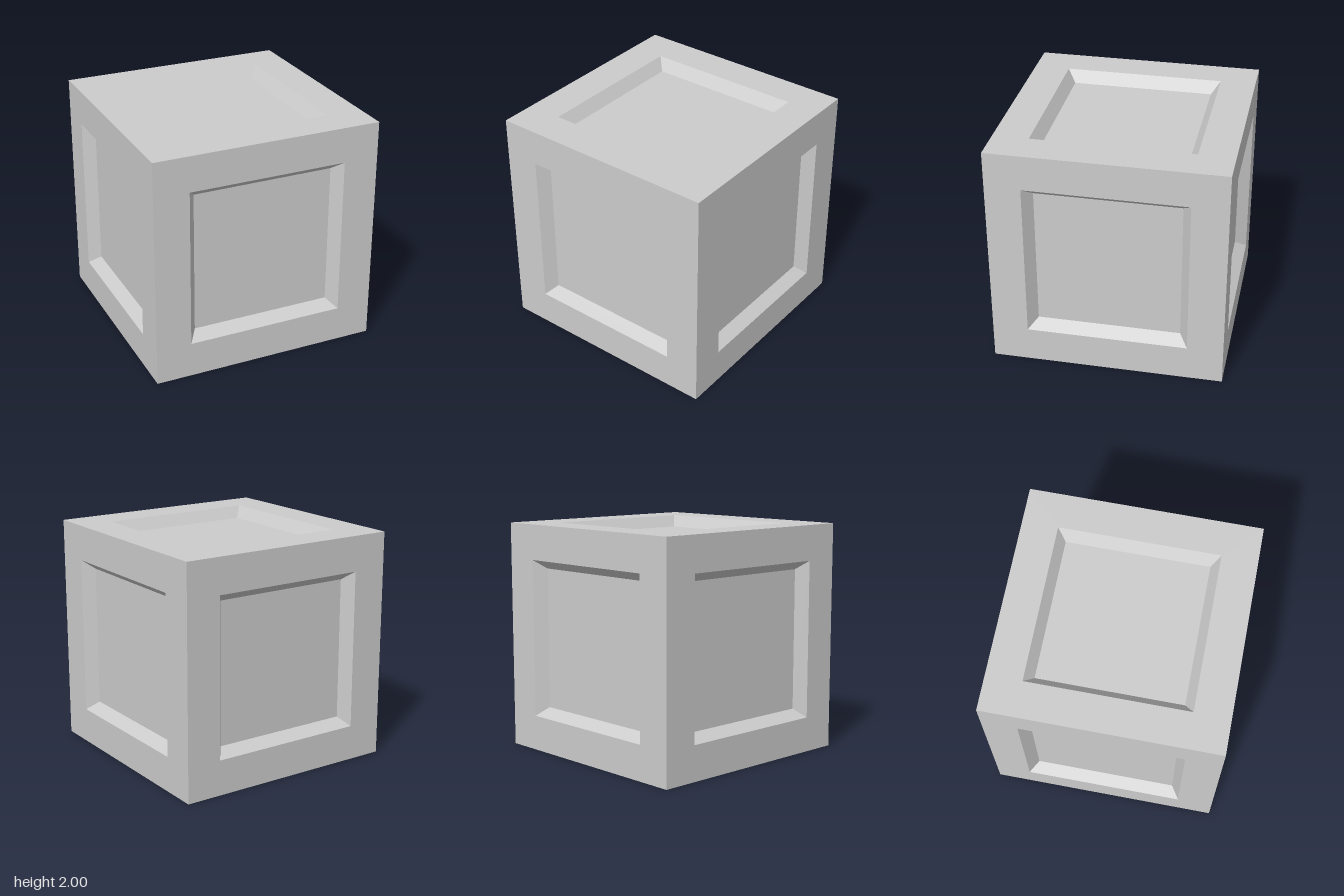
import * as THREE from 'three';

const HALF = 1, OPENING = 0.692, FLOOR = 0.617, DEPTH = 0.1;

// Square ring facing +z, running from an outer to an inner half-width
function squareRing(outer, zOuter, inner, zInner) {
  const profile = [
    new THREE.Vector2(outer * Math.SQRT2, zOuter),
    new THREE.Vector2(inner * Math.SQRT2, zInner),
  ];
  const geometry = new THREE.LatheGeometry(profile, 4, Math.PI / 4).toNonIndexed();
  geometry.rotateX(Math.PI / 2);
  geometry.computeVertexNormals();
  return geometry;
}

export function createModel() {
  const model = new THREE.Group();
  model.name = 'panelledCube';
  const grey = new THREE.MeshStandardMaterial({ color: 0xcccccc });
  grey.name = 'light grey';

  // Flat border, sloping walls and recessed floor of one side
  const parts = {
    border: squareRing(HALF, HALF, OPENING, HALF),
    bevel: squareRing(OPENING, HALF, FLOOR, HALF - DEPTH),
    recessedPanel: new THREE.PlaneGeometry(2 * FLOOR, 2 * FLOOR).translate(0, 0, HALF - DEPTH),
  };

  // Same side turned to each of the six directions
  const q = Math.PI / 2;
  const sides = {
    front: [0, 0], left: [0, q], back: [0, 2 * q], right: [0, -q],
    top: [-q, 0], bottom: [q, 0],
  };
  for (const [sideName, [rx, ry]] of Object.entries(sides)) {
    const side = new THREE.Group();
    side.name = sideName + 'Side';
    for (const [partName, geometry] of Object.entries(parts)) {
      const mesh = new THREE.Mesh(geometry, grey);
      mesh.name = partName;
      side.add(mesh);
    }
    side.rotation.set(rx, ry, 0);
    side.position.y = HALF;
    model.add(side);
  }
  return model;
}
